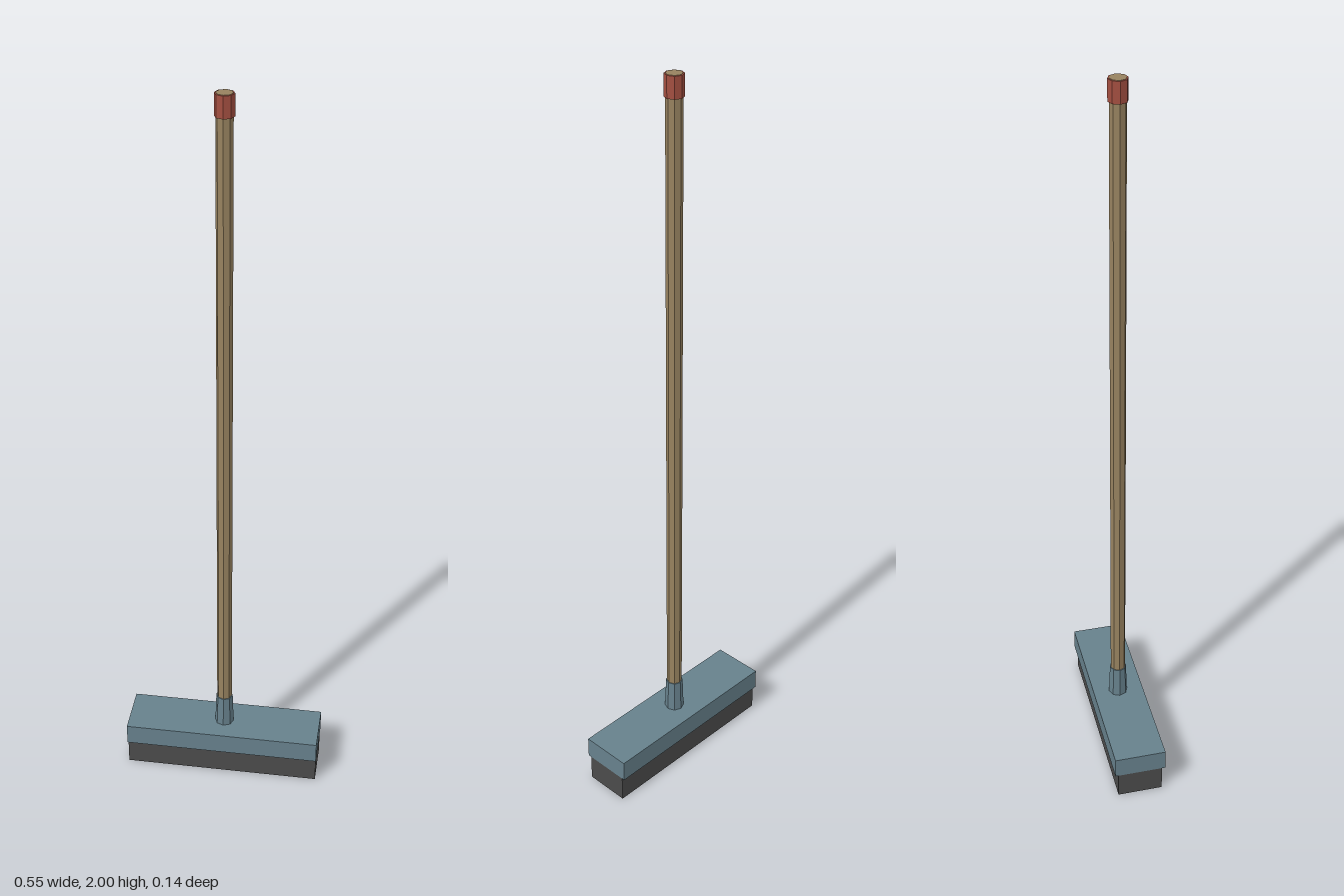
import * as THREE from 'three';

function material(name, color) {
  const m = new THREE.MeshStandardMaterial({ color, flatShading: true });
  m.name = name;
  return m;
}

export function createModel() {
  const group = new THREE.Group();
  group.name = 'pushBroom';

  const blue = material('slateBlue', 0x67818c);
  const grey = material('bristleGrey', 0x4b4b4b);
  const wood = material('wood', 0x97825f);
  const red = material('gripRed', 0xa34e40);

  function add(name, geometry, mat, bottom, top) {
    const mesh = new THREE.Mesh(geometry, mat);
    mesh.name = name;
    mesh.position.y = (bottom + top) / 2;
    group.add(mesh);
  }
  const block = (name, mat, width, depth, bottom, top) =>
    add(name, new THREE.BoxGeometry(width, top - bottom, depth), mat, bottom, top);
  const octagon = (name, mat, rTop, rBottom, bottom, top) =>
    add(name, new THREE.CylinderGeometry(rTop, rBottom, top - bottom, 8), mat, bottom, top);

  // Broom head
  block('bristles', grey, 0.544, 0.125, 0, 0.077);
  block('head', blue, 0.546, 0.143, 0.077, 0.138);

  // Handle with its socket and end band
  octagon('socket', blue, 0.0235, 0.0265, 0.138, 0.232);
  octagon('pole', wood, 0.021, 0.021, 0.138, 2);
  octagon('endBand', red, 0.0245, 0.0245, 1.945, 1.999);

  return group;
}
